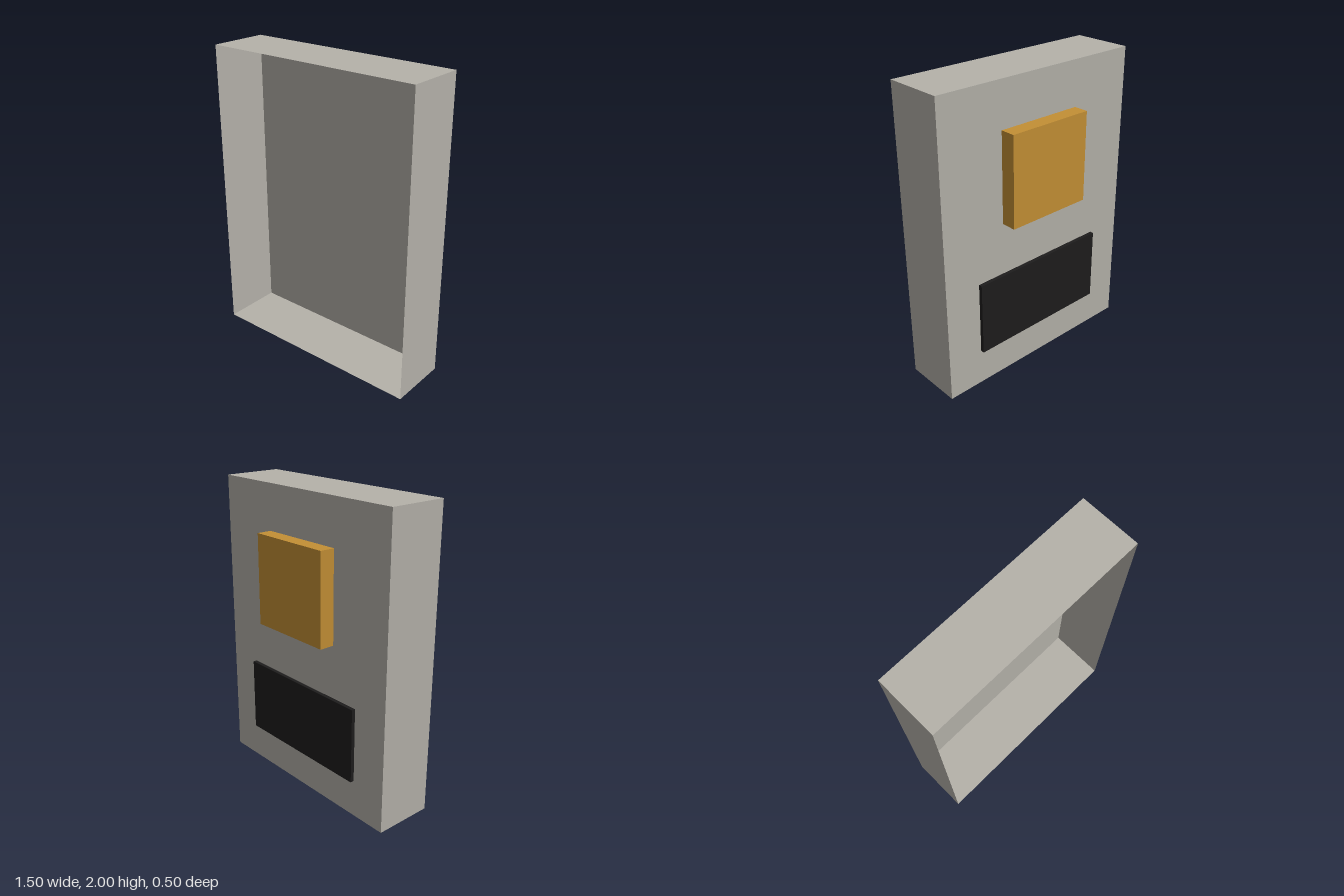
import * as THREE from 'three';

// Box spanning the given ranges, with its +z face left out
function openBox(width, y0, y1, zBack, zFront) {
  const box = new THREE.BoxGeometry(width, y1 - y0, zFront - zBack);
  const index = Array.from(box.index.array);
  index.splice(24, 6);
  box.setIndex(index);
  box.clearGroups();
  box.translate(0, (y0 + y1) / 2, (zBack + zFront) / 2);
  return box;
}

export function createModel() {
  const material = (name, color, side = THREE.FrontSide) => {
    const m = new THREE.MeshStandardMaterial({ color, side });
    m.name = name;
    return m;
  };
  const grey = material('warm grey', 0xb5b2aa, THREE.DoubleSide);
  const amber = material('amber', 0xc49035);
  const black = material('black', 0x1e1d1d);

  const model = new THREE.Group();
  model.name = 'openCasing';
  const add = (name, geometry, mat) => {
    const mesh = new THREE.Mesh(geometry, mat);
    mesh.name = name;
    model.add(mesh);
  };

  // Thin-walled shell, open at the front
  add('shell', openBox(1.5, 0, 2, -0.15, 0.25), grey);
  // Raised block on the upper back
  add('backBlock', openBox(0.6, 1.1, 1.7, -0.25, -0.15), amber);
  // Slim panel on the lower back
  add('backPanel', openBox(1.0, 0.25, 0.75, -0.175, -0.15), black);

  return model;
}
